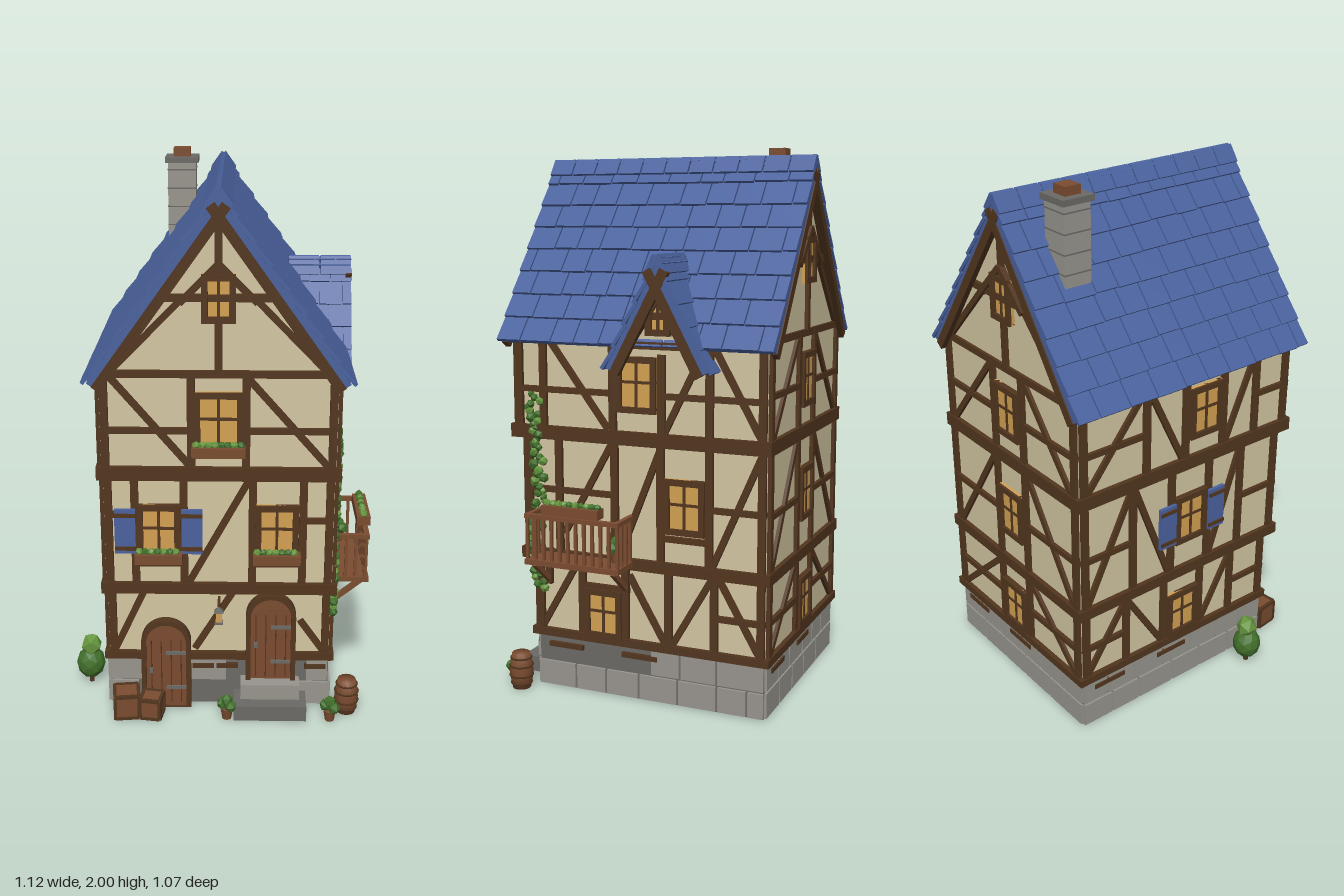
import * as THREE from 'three';
import { mergeGeometries } from 'three/addons/utils/BufferGeometryUtils.js';

const mat = (name, color, o = {}) => Object.assign(new THREE.MeshStandardMaterial({ color, ...o }), { name });
const M = {
  plaster: mat('plaster', 0xd3c6a1), timber: mat('timber', 0x52361f), wood: mat('wood', 0x7b4c30),
  tile: mat('blue tile', 0x4a629e), stone: mat('stone', 0x98958e), mortar: mat('dark stone', 0x6c6a66),
  glass: mat('amber glass', 0xd3a152), leaf: mat('leaf', 0x416f2b, { flatShading: true }),
  bush: mat('bush', 0x64943d, { flatShading: true }),
};
let seed = 7;
const rnd = () => (seed = (seed * 16807) % 2147483647) / 2147483647;

function add(g, name, geo, m, x = 0, y = 0, z = 0) {
  const mesh = new THREE.Mesh(geo, m);
  mesh.name = name;
  mesh.position.set(x, y, z);
  g.add(mesh);
  return mesh;
}
const box = (g, name, m, w, h, d, x, y, z) => add(g, name, new THREE.BoxGeometry(w, h, d), m, x, y, z);
function sub(g, name, x = 0, y = 0, z = 0, ry = 0) {
  const s = new THREE.Group();
  s.name = name;
  s.position.set(x, y, z);
  s.rotation.y = ry;
  g.add(s);
  return s;
}
// straight timber lying on a wall plane
function beam(g, u1, v1, u2, v2, w = 0.026, d = 0.028, m = M.timber, z = 0) {
  const b = box(g, 'beam', m, Math.hypot(u2 - u1, v2 - v1), w, d, (u1 + u2) / 2, (v1 + v2) / 2, z);
  b.rotation.z = Math.atan2(v2 - v1, u2 - u1);
}
function blob(g, name, m, r, x, y, z, sy = 1) {
  const b = add(g, name, new THREE.IcosahedronGeometry(r, 0), m, x, y, z);
  b.rotation.set(rnd() * 3, rnd() * 3, rnd() * 3);
  b.scale.set(1, sy, 1);
}
function windowAt(g, u, v, w, h, o = {}) {
  const s = sub(g, 'window', u, v, 0);
  box(s, 'glass', M.glass, w, h, 0.02, 0, 0, 0.002);
  for (const k of [-1, 1]) {
    box(s, 'jamb', M.timber, 0.022, h, 0.045, k * (w / 2 - 0.011), 0, 0);
    box(s, 'frame rail', M.timber, w, 0.022, 0.045, 0, k * (h / 2 - 0.011), 0);
    if (o.shutters) {
      box(s, 'shutter', M.tile, 0.075, h - 0.03, 0.014, k * (w / 2 + 0.042), 0, 0.02);
      for (const j of [-1, 1]) box(s, 'shutter batten', M.timber, 0.075, 0.014, 0.008, k * (w / 2 + 0.042), j * h * 0.32, 0.028);
    }
  }
  box(s, 'mullion', M.timber, 0.01, h, 0.032, 0, 0, 0);
  box(s, 'transom', M.timber, w, 0.01, 0.032, 0, 0.01, 0);
  if (o.flowers) planter(s, w + 0.015, 0, -h / 2 + 0.005, 0.035);
}
function planter(g, w, x, y, z) {
  box(g, 'flower box', M.wood, w, 0.035, 0.05, x, y, z);
  for (let u = -w / 2 + 0.015; u < w / 2 - 0.005; u += 0.022)
    blob(g, 'flower leaves', rnd() > 0.5 ? M.leaf : M.bush, 0.015, x + u, y + 0.022, z);
}
function frame(g, u0, u1, y0, y1, posts, rails, diags) {
  for (const p of [u0 + 0.016, u1 - 0.016, ...posts]) beam(g, p, y0, p, y1, 0.028);
  rails.forEach(([a, b, y]) => beam(g, a, y, b, y, 0.022));
  diags.forEach(d => beam(g, ...d, 0.024, 0.024));
}
// one roof plane: local x runs down the slope, z along the ridge
function slope(g, run, rise, len, rows, tileW) {
  const L = Math.hypot(run, rise), step = L / rows, tiles = [];
  const s = sub(g, 'roof slope');
  s.rotation.z = -Math.atan2(rise, run);
  box(s, 'roof deck', M.tile, L - 0.012, 0.022, len - 0.01, L / 2, -0.024, 0);
  for (let i = 0; i < rows; i++) {
    let a = -len / 2;
    while (a < len / 2 - 0.001) {
      let w = tileW * (0.8 + rnd() * 0.4) * (a === -len / 2 && i % 2 ? 0.5 : 1);
      if (len / 2 - a - w < tileW * 0.4) w = len / 2 - a;
      const t = new THREE.BoxGeometry(step * 1.08 + rnd() * 0.008, 0.013, w - 0.005);
      t.rotateZ(0.1);
      tiles.push(t.translate((i + 0.5) * step, -0.006, a + w / 2));
      a += w;
    }
  }
  const caps = Math.round(len / 0.1);
  for (let i = 0; i < caps; i++)
    tiles.push(new THREE.BoxGeometry(0.07, 0.016, len / caps - 0.006).translate(0.032, 0.004, ((i + 0.5) / caps - 0.5) * len));
  add(s, 'roof tiles', mergeGeometries(tiles), M.tile);
  for (const k of [-1, 1]) box(s, 'barge board', M.timber, L - 0.03, 0.035, 0.022, L / 2 + 0.01, -0.05, k * (len / 2 - 0.012));
}
function gablePrism(g, half, y0, y1, depth, z) {
  const sh = new THREE.Shape([[-half, y0], [half, y0], [0, y1]].map(p => new THREE.Vector2(...p)));
  add(g, 'gable wall', new THREE.ExtrudeGeometry(sh, { depth, bevelEnabled: false }), M.plaster, 0, 0, z);
}
function archShape(w, h) {
  const s = new THREE.Shape(), r = w / 2;
  s.moveTo(-r, 0); s.lineTo(r, 0); s.lineTo(r, h - r);
  s.absarc(0, h - r, r, 0, Math.PI, false);
  s.lineTo(-r, 0);
  return s;
}
function door(g, x, y, z, w, h) {
  const d = sub(g, 'door', x, y, z), outer = archShape(w, h);
  outer.holes.push(archShape(w - 0.036, h - 0.018));
  add(d, 'door frame', new THREE.ExtrudeGeometry(outer, { depth: 0.04, bevelEnabled: false, curveSegments: 10 }), M.timber, 0, 0, -0.01);
  add(d, 'door leaf', new THREE.ExtrudeGeometry(archShape(w - 0.03, h - 0.015), { depth: 0.025, bevelEnabled: false, curveSegments: 10 }), M.wood, 0, 0, -0.01);
  for (const k of [-1.5, -0.5, 0.5, 1.5]) box(d, 'plank seam', M.timber, 0.004, h * 0.72, 0.006, k * w * 0.2, h * 0.4, 0.015);
  for (const k of [0.22, 0.62]) box(d, 'hinge', M.mortar, w * 0.4, 0.012, 0.008, w * 0.2, h * k, 0.018);
  box(d, 'handle', M.mortar, 0.012, 0.02, 0.016, -w * 0.3, h * 0.42, 0.018);
}
function pot(g, x, y, z) {
  const p = sub(g, 'potted plant', x, y, z);
  add(p, 'pot', new THREE.CylinderGeometry(0.024, 0.017, 0.042, 10), M.wood, 0, 0.021, 0);
  for (const [a, b, c] of [[0, 0.075, 0], [0.015, 0.055, 0.01], [-0.015, 0.057, -0.008]]) blob(p, 'pot leaves', M.leaf, 0.024, a, b, c);
}
function crate(g, x, z, s, ry) {
  const c = sub(g, 'crate', x, s / 2, z, ry);
  box(c, 'crate body', M.wood, s * 0.94, s * 0.94, s * 0.94, 0, 0, 0);
  for (let i = 0; i < 4; i++) {
    const f = sub(c, 'crate side', 0, 0, 0, i * Math.PI / 2), e = s / 2 - 0.006;
    for (const k of [-1, 1]) {
      beam(f, -e, k * e, e, k * e, 0.012, 0.012, M.timber, e);
      beam(f, k * e, -e, k * e, e, 0.012, 0.012, M.timber, e);
    }
    beam(f, -e, -e, e, e, 0.012, 0.008, M.timber, e - 0.002);
  }
}

export function createModel() {
  const root = new THREE.Group();
  root.name = 'timber framed house';
  const H = 0.41, BACK = -0.5, fronts = [0.4, 0.44, 0.475], ys = [0.2, 0.5, 0.96, 1.335];

  // Stone foundation with two courses of blocks
  box(root, 'foundation', M.mortar, 0.82, 0.2, 0.89, 0, 0.1, -0.05);
  const sides = [['front', 0, 0.395, 0, -0.41, 0.41], ['right', H, 0, Math.PI / 2, -0.4, 0.5],
    ['back', 0, BACK + 0.005, Math.PI, -0.41, 0.41], ['left', -H, 0, -Math.PI / 2, -0.5, 0.4]];
  for (const [name, x, z, ry, a, b] of sides) {
    const f = sub(root, name + ' foundation', x, 0, z, ry);
    for (let r = 0; r < 2; r++) for (let u = a; u < b - 0.01;) {
      let w = 0.11 + rnd() * 0.06;
      if (b - u - w < 0.06) w = b - u;
      const m = u + w / 2;
      const bare = name === 'front' ? m > -0.3 && m < 0.33 && !(r && m > -0.1 && m < 0) : name === 'right' && r && m < 0.08;
      if (!bare) box(f, 'stone block', M.stone, w - 0.008, 0.092, 0.02, m, 0.05 + r * 0.1, 0);
      u += w;
    }
    const strips = name === 'front' ? [0.03, 0.36, -0.06] : [a + 0.12, a + 0.42];
    for (const u of strips) box(f, 'foundation timber', M.timber, name === 'front' ? 0.08 : 0.14, 0.018, 0.03, u, 0.165, 0);
  }

  // Jettied storeys with floor beams
  for (let i = 0; i < 3; i++) {
    const d = fronts[i] - BACK, zc = (fronts[i] + BACK) / 2;
    box(root, 'storey wall', M.plaster, H * 2, ys[i + 1] - ys[i], d, 0, (ys[i] + ys[i + 1]) / 2, zc);
    const h = [0.03, 0.042, 0.05][i];
    box(root, 'floor beam', M.timber, H * 2 + 0.036, h, d + 0.036, 0, ys[i] + 0.012, zc);
  }
  box(root, 'wall plate', M.timber, H * 2 + 0.03, 0.026, 0.999, 0, 1.333, -0.0125);

  // Front framing, windows and doors
  const F = fronts.map((z, i) => sub(root, 'front storey ' + i, 0, 0, z));
  frame(F[0], -H, H, 0.2, 0.5, [], [], [[-0.39, 0.23, -0.27, 0.49], [-0.09, 0.24, 0.06, 0.49], [0.3, 0.36, 0.39, 0.23]]);
  frame(F[1], -H, H, 0.5, 0.96, [-0.3, -0.125, 0.12, 0.3], [[-0.4, -0.3, 0.8], [0.3, 0.4, 0.78], [-0.3, -0.125, 0.61], [0.12, 0.3, 0.61]],
    [[-0.11, 0.53, 0.11, 0.94]]);
  frame(F[2], -H, H, 0.96, 1.34, [-0.095, 0.095], [[-0.4, -0.1, 1.13], [0.1, 0.4, 1.13]], [[-0.37, 1.32, -0.1, 1.0], [0.1, 1.32, 0.38, 1.0]]);
  windowAt(F[1], -0.215, 0.74, 0.155, 0.2, { shutters: true, flowers: true });
  windowAt(F[1], 0.207, 0.74, 0.155, 0.2, { flowers: true });
  windowAt(F[2], 0, 1.165, 0.17, 0.21, { flowers: true });
  door(root, -0.198, 0, 0.405, 0.185, 0.365);
  door(root, 0.192, 0.115, 0.405, 0.185, 0.36);
  box(root, 'upper step', M.stone, 0.22, 0.06, 0.07, 0.19, 0.09, 0.435);
  box(root, 'lower step', M.mortar, 0.27, 0.06, 0.12, 0.19, 0.03, 0.46);

  // Right, back and left framing
  const R = sub(root, 'right framing', H, 0, 0, Math.PI / 2);
  frame(R, -0.4, 0.5, 0.2, 0.5, [-0.21, -0.035, 0.135, 0.31], [[-0.21, -0.035, 0.41], [0.31, 0.5, 0.35]],
    [[-0.38, 0.23, -0.23, 0.49], [-0.02, 0.47, 0.12, 0.23], [0.15, 0.23, 0.3, 0.49], [0.33, 0.49, 0.48, 0.23]]);
  frame(R, -0.44, 0.5, 0.5, 0.96, [-0.3, -0.075, 0.105, 0.29], [[-0.43, -0.075, 0.76], [0.105, 0.29, 0.62], [0.29, 0.5, 0.74]],
    [[-0.28, 0.6, -0.09, 0.94], [-0.06, 0.53, 0.1, 0.93], [0.3, 0.53, 0.48, 0.94]]);
  frame(R, -0.475, 0.5, 0.96, 1.34, [-0.36, -0.08, 0.11, 0.29], [[-0.46, -0.08, 1.13], [0.11, 0.5, 1.13]],
    [[-0.34, 1.32, -0.1, 1.0], [0.12, 1.0, 0.28, 1.32], [0.3, 1.32, 0.48, 1.0]]);
  windowAt(R, -0.123, 0.31, 0.15, 0.185);
  windowAt(R, 0.198, 0.74, 0.155, 0.2);
  windowAt(R, 0.015, 1.165, 0.155, 0.2);
  const B = sub(root, 'back framing', 0, 0, BACK, Math.PI);
  const L = sub(root, 'left framing', -H, 0, 0, -Math.PI / 2);
  const cu = [-0.03, 0, 0.06];
  for (let i = 0; i < 3; i++) {
    const y0 = ys[i], y1 = ys[i + 1], ym = (y0 + y1) / 2, wy = [0.325, 0.74, 1.165][i], wh = i ? 0.2 : 0.19;
    frame(B, -H, H, y0, y1, [-0.09, 0.09], [[-0.4, -0.09, ym], [0.09, 0.4, ym]],
      [[-0.38, y0 + 0.03, -0.11, y1 - 0.02], [0.11, y1 - 0.02, 0.38, y0 + 0.03]]);
    windowAt(B, 0, wy, 0.15, wh);
    const c = cu[i];
    frame(L, BACK, fronts[i], y0, y1, [c - 0.27, c - 0.09, c + 0.09, c + 0.25], [[-0.5, c - 0.27, ym], [c + 0.25, fronts[i], ym]],
      [[-0.48, y0 + 0.03, c - 0.28, y1 - 0.02], [c - 0.26, y1 - 0.02, c - 0.1, y0 + 0.03], [c + 0.1, y0 + 0.03, c + 0.24, y1 - 0.02]]);
    windowAt(L, c, wy, 0.15, wh, { shutters: i === 1 });
  }

  // Gables
  gablePrism(root, H, 1.33, 1.9, 0.975, BACK);
  for (const g of [sub(root, 'front gable', 0, 0, 0.475), sub(root, 'back gable', 0, 0, BACK, Math.PI)]) {
    beam(g, -0.21, 1.597, 0.21, 1.597);
    beam(g, 0, 1.34, 0, 1.52);
    beam(g, 0, 1.67, 0, 1.88);
    for (const k of [-1, 1]) {
      beam(g, k * 0.38, 1.36, 0, 1.885, 0.03);
      beam(g, k * 0.36, 1.35, k * 0.12, 1.597, 0.022);
      beam(g, k * 0.13, 1.58, 0, 1.71, 0.022, 0.045);
    }
    windowAt(g, 0, 1.595, 0.115, 0.165);
  }

  // Main roof and dormer
  const roof = sub(root, 'main roof', 0, 1.957, -0.006);
  for (const ry of [0, Math.PI]) slope(sub(roof, 'roof half', 0, 0, 0, ry), 0.46, 0.645, 1.06, 8, 0.11);
  const dormer = sub(root, 'dormer', 0.37, 0, -0.117, Math.PI / 2);
  for (const ry of [0, Math.PI]) slope(sub(dormer, 'dormer roof half', 0, 1.615, 0, ry), 0.205, 0.385, 0.24, 5, 0.085);
  gablePrism(dormer, 0.14, 1.28, 1.55, 0.2, -0.12);
  const dg = sub(dormer, 'dormer gable', 0, 0, 0.08);
  beam(dg, -0.13, 1.31, 0.13, 1.31);
  beam(dg, -0.09, 1.41, 0.09, 1.41, 0.02);
  beam(dg, 0, 1.46, 0, 1.57, 0.02);
  for (const k of [-1, 1]) {
    beam(dg, k * 0.1, 1.32, 0, 1.47, 0.018, 0.045);
    beam(dg, k * 0.145, 1.28, 0, 1.56);
  }
  windowAt(dg, 0, 1.41, 0.09, 0.13);

  // Chimney
  box(root, 'chimney stack', M.stone, 0.108, 0.4, 0.108, -0.157, 1.76, -0.341);
  for (let i = 0; i < 5; i++) box(root, 'chimney course', M.mortar, 0.111, 0.005, 0.111, -0.157, 1.64 + i * 0.07, -0.341);
  box(root, 'chimney cap', M.mortar, 0.128, 0.022, 0.128, -0.157, 1.957, -0.341);
  box(root, 'chimney pot', M.wood, 0.064, 0.034, 0.064, -0.157, 1.983, -0.341);

  // Balcony
  const bal = sub(root, 'balcony');
  box(bal, 'balcony floor', M.wood, 0.14, 0.02, 0.375, 0.48, 0.515, 0.188);
  box(bal, 'front handrail', M.wood, 0.02, 0.016, 0.375, 0.538, 0.685, 0.188);
  for (let i = 0; i <= 11; i++) box(bal, 'baluster', M.wood, 0.011, 0.16, 0.011, 0.538, 0.605, 0.008 + i * 0.0327);
  for (const z of [0.01, 0.365]) {
    box(bal, 'side handrail', M.wood, 0.13, 0.016, 0.018, 0.475, 0.685, z);
    for (const x of [0.43, 0.465, 0.5]) box(bal, 'side baluster', M.wood, 0.011, 0.16, 0.011, x, 0.605, z);
    const s = sub(bal, 'bracket', 0, 0, z < 0.1 ? 0.03 : 0.345);
    beam(s, 0.415, 0.41, 0.53, 0.505, 0.018, 0.018, M.wood);
    beam(s, 0.42, 0.4, 0.42, 0.505, 0.018, 0.022);
  }
  planter(sub(bal, 'balcony planter', 0.532, 0.715, 0.188, Math.PI / 2), 0.225, 0, 0, 0);
  pot(root, 0.46, 0.525, 0.05);

  // Ivy, bush, pots, barrel, crates and lantern
  const ivy = sub(root, 'ivy');
  for (let i = 0; i < 60; i++) {
    const t = i / 59;
    blob(ivy, 'ivy leaf', i % 3 ? M.leaf : M.bush, 0.014 + rnd() * 0.007, 0.421, 0.38 + t * 0.73,
      0.39 + Math.sin(t * 9) * 0.012 + (rnd() - 0.5) * 0.05);
  }
  const bush = sub(root, 'bush', -0.505, 0, 0.252);
  add(bush, 'bush stem', new THREE.CylinderGeometry(0.008, 0.01, 0.05, 6), M.timber, 0, 0.025, 0);
  const low = add(bush, 'lower bush', new THREE.IcosahedronGeometry(0.056, 1), M.leaf, 0, 0.085, 0);
  low.scale.y = 1.15;
  const top = add(bush, 'upper bush', new THREE.IcosahedronGeometry(0.042, 0), M.bush, 0.004, 0.16, 0);
  top.scale.y = 1.15;
  pot(root, 0.03, 0, 0.5);
  pot(root, 0.412, 0, 0.505);
  const barrel = sub(root, 'barrel', 0.478, 0, 0.442);
  const prof = [[0, 0], [0.034, 0], [0.042, 0.04], [0.044, 0.068], [0.042, 0.096], [0.034, 0.136], [0, 0.136]];
  add(barrel, 'barrel body', new THREE.LatheGeometry(prof.map(p => new THREE.Vector2(...p)), 14), M.wood);
  for (const [y, r] of [[0.02, 0.038], [0.05, 0.043], [0.088, 0.043], [0.118, 0.038]])
    add(barrel, 'barrel hoop', new THREE.TorusGeometry(r, 0.004, 5, 16).rotateX(Math.PI / 2), M.timber, 0, y, 0);
  crate(root, -0.345, 0.475, 0.1, 0.12);
  crate(root, -0.25, 0.485, 0.085, -0.15);
  box(root, 'lantern bracket', M.timber, 0.01, 0.01, 0.07, 0, 0.448, 0.43);
  box(root, 'lantern light', M.glass, 0.022, 0.04, 0.022, 0, 0.4, 0.46);
  add(root, 'lantern cap', new THREE.ConeGeometry(0.024, 0.022, 4, 1).rotateY(Math.PI / 4), M.mortar, 0, 0.432, 0.46);
  box(root, 'lantern base', M.mortar, 0.03, 0.008, 0.03, 0, 0.378, 0.46);
  return root;
}
